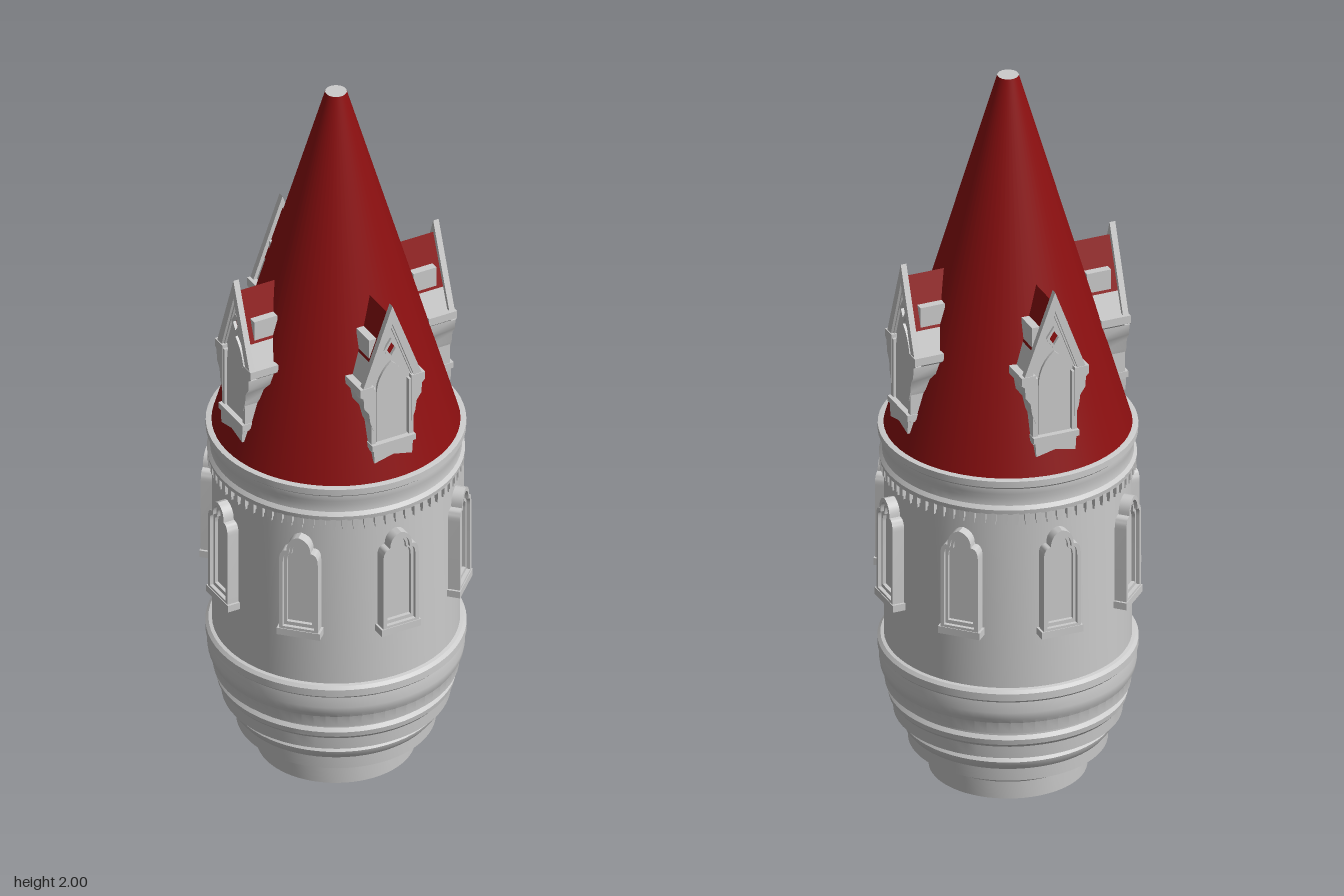
import * as THREE from 'three';
import { mergeGeometries, toCreasedNormals } from 'three/addons/utils/BufferGeometryUtils.js';

const stone = new THREE.MeshStandardMaterial({ color: 0xcccccc });
const tiles = new THREE.MeshStandardMaterial({ color: 0x8b0f10 });

function part(parent, name, geometry, material = stone) {
  const mesh = new THREE.Mesh(geometry, material);
  mesh.name = name;
  parent.add(mesh);
  return mesh;
}

const box = (x0, x1, y0, y1, z0, z1) =>
  new THREE.BoxGeometry(x1 - x0, y1 - y0, z1 - z0).translate((x0 + x1) / 2, (y0 + y1) / 2, (z0 + z1) / 2);

// Extrude a shape between two depths
function slab(shape, z0, z1, holes = []) {
  shape.holes.push(...holes);
  const g = new THREE.ExtrudeGeometry(shape, { depth: z1 - z0, bevelEnabled: false, curveSegments: 6 });
  return toCreasedNormals(g.translate(0, 0, z0), 0.6);
}

const poly = (pts) => new THREE.Shape(pts.map(([x, y]) => new THREE.Vector2(x, y)));

// Shouldered arch with a narrower round head
function shoulderedArch(w, bottom, spring, top) {
  const s = new THREE.Shape(), n = w * 0.62, mid = spring + (top - spring) * 0.42;
  s.moveTo(-w, bottom).lineTo(w, bottom).lineTo(w, spring);
  s.quadraticCurveTo(w, mid, n, mid);
  s.quadraticCurveTo(n, top - 0.008, 0, top);
  s.quadraticCurveTo(-n, top - 0.008, -n, mid);
  s.quadraticCurveTo(-w, mid, -w, spring);
  return s;
}

// Pointed arch centred on cx
function pointedArch(cx, w, bottom, spring, top) {
  const s = new THREE.Shape(), k = spring + (top - spring) * 0.65;
  s.moveTo(cx - w, bottom).lineTo(cx + w, bottom).lineTo(cx + w, spring);
  s.quadraticCurveTo(cx + w, k, cx, top);
  s.quadraticCurveTo(cx - w, k, cx - w, spring);
  return s;
}

const diamond = (y, w, h) => poly([[0, y - h], [w, y], [0, y + h], [-w, y]]);

function makeWindow() {
  const g = new THREE.Group();
  g.name = 'wallWindow';
  part(g, 'outerFrame', slab(shoulderedArch(0.052, 0.55, 0.765, 0.84), 0.29, 0.348,
    [shoulderedArch(0.042, 0.562, 0.76, 0.828)]));
  part(g, 'innerFrame', slab(shoulderedArch(0.043, 0.56, 0.76, 0.829), 0.29, 0.338,
    [shoulderedArch(0.034, 0.572, 0.755, 0.818)]));
  part(g, 'pane', slab(shoulderedArch(0.036, 0.56, 0.757, 0.82), 0.29, 0.328));
  part(g, 'sill', box(-0.058, 0.058, 0.535, 0.555, 0.29, 0.35));
  return g;
}

function makeDormer() {
  const g = new THREE.Group();
  g.name = 'dormer';
  // Front wall with arched opening, and the glazing set back in it
  part(g, 'wall', slab(poly([[-0.06, 1.08], [0.06, 1.08], [0.06, 1.26], [0.075, 1.28], [0, 1.47], [-0.075, 1.28], [-0.06, 1.26]]),
    0.2, 0.289, [pointedArch(0, 0.038, 1.1, 1.24, 1.325), diamond(1.375, 0.016, 0.024)]));
  part(g, 'backing', box(-0.05, 0.05, 1.09, 1.4, 0.2, 0.268));
  part(g, 'tracery', slab(pointedArch(0, 0.039, 1.1, 1.24, 1.326), 0.26, 0.282, [
    pointedArch(-0.017, 0.012, 1.11, 1.21, 1.25),
    pointedArch(0.017, 0.012, 1.11, 1.21, 1.25),
    diamond(1.275, 0.012, 0.018)]));
  part(g, 'archMoulding', slab(pointedArch(0, 0.044, 1.1, 1.24, 1.337), 0.28, 0.296,
    [pointedArch(0, 0.035, 1.099, 1.24, 1.32)]));
  part(g, 'gableOrnament', slab(diamond(1.375, 0.022, 0.032), 0.28, 0.296, [diamond(1.375, 0.013, 0.02)]));
  // Roof and raking gable trim
  part(g, 'dormerRoof', slab(poly([[-0.078, 1.27], [0.078, 1.27], [0, 1.475]]), 0.165, 0.287), tiles);
  part(g, 'gableTrim', slab(poly([[-0.095, 1.255], [-0.072, 1.255], [0, 1.455], [0.072, 1.255], [0.095, 1.255], [0, 1.51]]), 0.286, 0.302));
  part(g, 'gableBead', slab(poly([[-0.076, 1.262], [-0.066, 1.262], [0, 1.44], [0.066, 1.262], [0.076, 1.262], [0, 1.462]]), 0.28, 0.295));
  // Side eaves with corbelled undersides, and corner shafts
  for (const s of [-1, 1]) {
    const eave = [[0.055, 1.28], [0.055, 1.14], [0.066, 1.17], [0.07, 1.2], [0.084, 1.22], [0.086, 1.25], [0.095, 1.258], [0.095, 1.28]];
    const pts = eave.map(([x, y]) => [x * s, y]);
    part(g, 'sideEave', slab(poly(pts), 0.222, 0.304));
    part(g, 'cornerShaft', box(s * 0.055 - 0.007, s * 0.055 + 0.007, 1.08, 1.27, 0.25, 0.302));
  }
  // Sill and apron
  part(g, 'sill', box(-0.064, 0.064, 1.085, 1.102, 0.25, 0.311));
  part(g, 'apron', slab(poly([[-0.055, 1.045], [0, 1.058], [0.055, 1.045], [0.058, 1.09], [-0.058, 1.09]]), 0.25, 0.307));
  return g;
}

export function createModel() {
  const model = new THREE.Group();
  model.name = 'tower';

  // Tiered base, wall and cornice in one turned profile
  const profile = [
    [0, 0], [0.205, 0], [0.207, 0.05], [0.213, 0.06], [0.213, 0.075], [0.208, 0.08],
    [0.258, 0.08], [0.26, 0.115], [0.272, 0.13], [0.276, 0.142], [0.27, 0.15], [0.25, 0.155], [0.25, 0.165],
    [0.296, 0.165], [0.299, 0.2], [0.308, 0.21], [0.311, 0.225], [0.303, 0.235], [0.303, 0.248],
    [0.318, 0.248], [0.321, 0.28], [0.33, 0.295], [0.333, 0.315], [0.33, 0.345],
    [0.337, 0.352], [0.337, 0.372], [0.329, 0.38], [0.32, 0.382],
    [0.32, 0.89], [0.331, 0.892], [0.333, 0.905], [0.325, 0.915], [0.323, 0.935], [0.328, 0.95],
    [0.328, 0.965], [0.336, 0.972], [0.336, 0.99], [0.325, 0.992], [0.3, 0.992],
  ].map(([r, y]) => new THREE.Vector2(r, y));
  part(model, 'towerBody', toCreasedNormals(new THREE.LatheGeometry(profile, 64), 0.45));

  // Row of small corbels beneath the cornice
  const corbels = [];
  for (let i = 0; i < 72; i++) {
    const a = (i / 72) * Math.PI * 2;
    corbels.push(box(-0.007, 0.007, 0.872, 0.895, 0.31, 0.331).rotateY(a));
    corbels.push(box(-0.004, 0.004, 0.86, 0.874, 0.31, 0.327).rotateY(a));
  }
  part(model, 'corbelTable', mergeGeometries(corbels));

  // Conical roof with flat stone cap
  part(model, 'roof', new THREE.CylinderGeometry(0.028, 0.321, 1.008, 64, 1, true).translate(0, 1.496, 0), tiles);
  part(model, 'roofCap', new THREE.CircleGeometry(0.028, 32).rotateX(-Math.PI / 2).translate(0, 2, 0));

  // Eight wall windows, four roof dormers
  for (let i = 0; i < 8; i++) {
    const w = makeWindow();
    w.rotation.y = (i * Math.PI) / 4;
    model.add(w);
  }
  for (let i = 0; i < 4; i++) {
    const d = makeDormer();
    d.rotation.y = (i * Math.PI) / 2;
    model.add(d);
  }
  return model;
}
